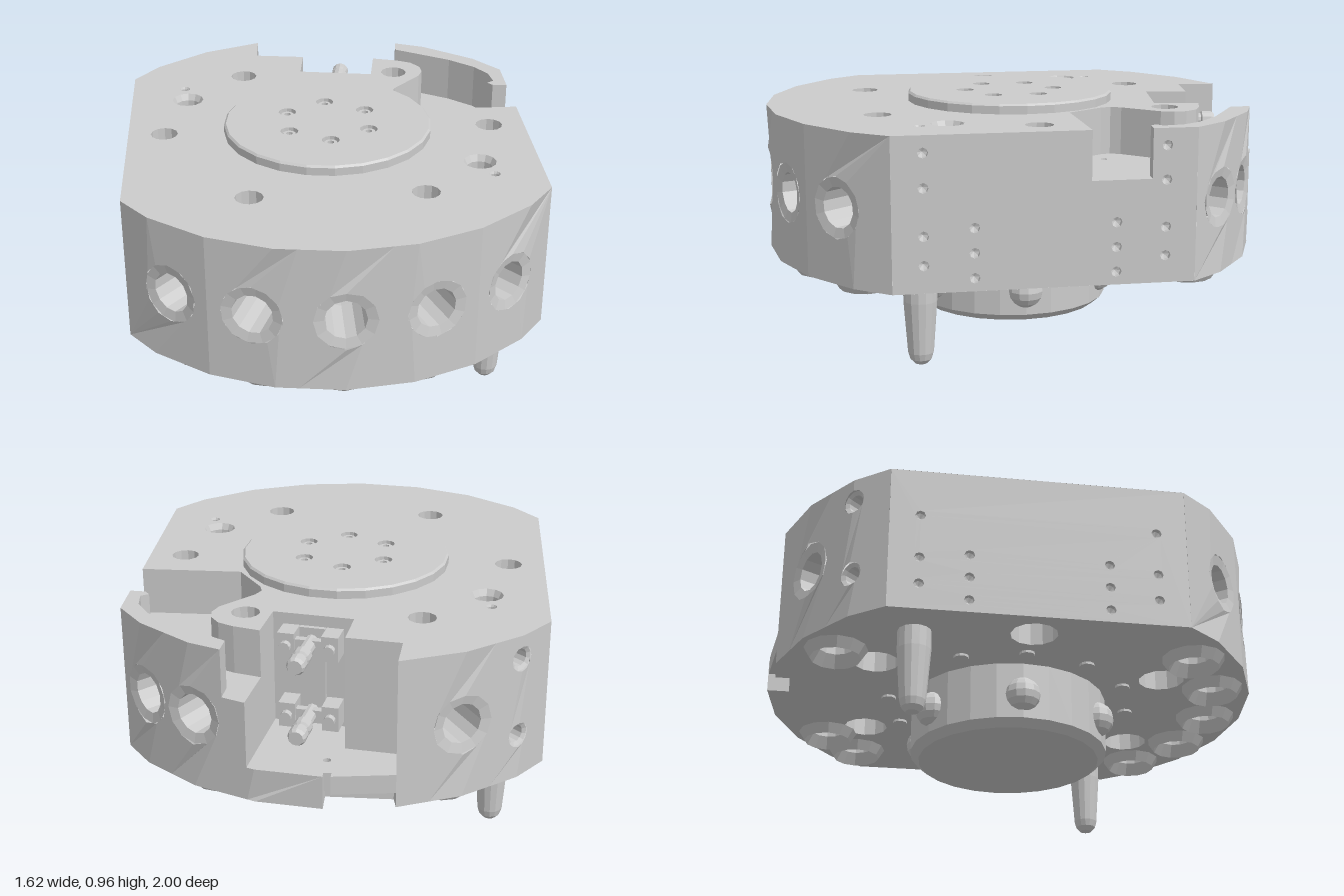
import * as THREE from 'three';

const Y0 = 0.335, RECESS = 0.395, FLOOR = 0.47, SHELF = 0.735, Y1 = 0.925, FLAT = 0.81, FLAT_Z = 0.572;
const solidMat = new THREE.MeshStandardMaterial({ color: 0xcccccc, flatShading: true });
const openMat = new THREE.MeshStandardMaterial({ color: 0xcccccc, flatShading: true, side: THREE.DoubleSide });
const rad = THREE.MathUtils.degToRad, deg = THREE.MathUtils.radToDeg;

// point at an angle (0 is the front, 90 is +x); by default on the 24-sided rim
const rimRadius = d => Math.cos(rad(7.5)) / Math.cos(rad((d + 720) % 15 - 7.5));
const at = (d, r = rimRadius(d)) => [r * Math.sin(rad(d)), r * Math.cos(rad(d))];

// rising angles from a to b, stopping at each 15 degree corner
function steps(a, b) {
  const list = [a];
  for (let d = Math.ceil(a / 15) * 15; d < b - 0.2; d += 15) if (d - a > 0.2) list.push(d);
  return [...list, b];
}
const arc = (a, b) => steps(a, b).map(d => at(d));

function add(group, name, geo, mat = solidMat) {
  const mesh = new THREE.Mesh(geo, mat);
  mesh.name = name;
  group.add(mesh);
  return mesh;
}

// outlined sheet with round holes [u, v, r], each vertex placed by a rule
function panel(group, name, outline, holes, place, sides = 12) {
  const shape = new THREE.Shape(outline.map(p => new THREE.Vector2(...p)));
  for (const [u, v, r] of holes) {
    const ring = [];
    for (let i = 0; i < sides; i++) {
      const a = (i / sides) * Math.PI * 2;
      ring.push(new THREE.Vector2(u + r * Math.cos(a), v + r * Math.sin(a)));
    }
    shape.holes.push(new THREE.Path(ring));
  }
  const geo = new THREE.ShapeGeometry(shape), pos = geo.attributes.position;
  for (let i = 0; i < pos.count; i++) pos.setXYZ(i, ...place(pos.getX(i), pos.getY(i)));
  geo.computeVertexNormals();
  add(group, name, geo, openMat);
}
const level = y => (u, v) => [u, y, v];
const bend = (u, v) => {
  const [x, z] = at(deg(u));
  return [x, v, z];
};

// vertical wall along a floor path
function wall(group, name, path, y0, y1) {
  const pos = [], index = [];
  path.forEach(([x, z], i) => {
    pos.push(x, y0, z, x, y1, z);
    const k = i * 2;
    if (i) index.push(k - 2, k, k - 1, k, k + 1, k - 1);
  });
  const geo = new THREE.BufferGeometry();
  geo.setAttribute('position', new THREE.Float32BufferAttribute(pos, 3));
  geo.setIndex(index);
  geo.computeVertexNormals();
  add(group, name, geo, openMat);
}

const lathe = (pts, sides) => new THREE.LatheGeometry(pts.map(p => new THREE.Vector2(...p)), sides);

// sunken bore opening towards dir
function cup(group, name, pos, dir, rim, r, depth, lip = 0.008, sides = 12) {
  const mesh = add(group, name, lathe([[rim, 0], [r, -lip], [r, -depth], [0, -depth - r * 0.4]], sides), openMat);
  mesh.position.set(...pos);
  mesh.quaternion.setFromUnitVectors(new THREE.Vector3(0, 1, 0), new THREE.Vector3(...dir));
}

function buildBody() {
  const g = new THREE.Group();
  g.name = 'body';
  const A = deg(Math.atan2(FLAT, FLAT_Z)), B = 180 - A, C = 180 + A; // ends of the curved front and back
  const SLOT0 = 179.7, SLOT1 = 181.4, P_R = 163.14, P_L = 195.1, GAP = 157.67;
  const slot = [at(SLOT0), [0.005, -0.97], [-0.025, -0.97], at(SLOT1)];
  const recess = [at(SLOT0), [0.005, -0.91], [-0.25, -0.91], at(P_L)];
  const pocketLeft = [[0.257, -0.74], [0.23, -0.56], [-0.08, -0.61], [-0.06, -0.78], [-0.27, -0.81], at(P_L)];
  const shelfIn = [[FLAT, -0.17], [0.41, -0.17], [0.31, -0.32], [0.3, -0.36], [0.32, -0.4], [0.44, -0.53],
    [0.46, -0.58], [0.455, -0.63], [0.42, -0.68], [0.36, -0.71], [0.257, -0.74]];
  const shelfOut = [[FLAT, -0.4], [0.75, -0.405], [0.73, -0.43], [0.76, -0.45], [0.75, -0.53], [0.7, -0.61],
    [0.6, -0.7], [0.37, -0.84], at(GAP)];

  const through = [30, 90, 150, 210, 270, 330].map(d => [...at(d, 0.665), 0.055]);
  const dowels = [[0.575, 0.335, 0.065], [-0.575, -0.335, 0.065], [0.615, 0.445, 0.022], [-0.59, -0.45, 0.022]];
  const ports = [-40, -20, 0, 20, 40, 135, 150, 210];
  const nozzles = ports.map(d => [...at(d, 0.85), 0.085]);
  const shelfHoles = [[0.68, -0.515, 0.013], [0.41, -0.31, 0.013]];

  // horizontal faces
  panel(g, 'topFace', [...arc(-A, A), ...shelfIn, ...pocketLeft.slice(1), ...arc(P_L, C).slice(1)],
    [...through, ...dowels], level(Y1));
  panel(g, 'rimTop', [...shelfOut, ...arc(B, GAP).reverse().slice(1)], [], level(Y1));
  panel(g, 'shelfFloor', [...shelfIn, at(P_R), ...shelfOut.slice().reverse()], shelfHoles, level(SHELF));
  panel(g, 'pocketFloor', [...pocketLeft, at(SLOT1), ...slot.slice(0, 3).reverse(),
    ...arc(P_R, SLOT0).reverse().slice(1)], [[0, -0.875, 0.015]], level(FLOOR));
  panel(g, 'recessRoof', [...recess.slice(1), ...slot.slice(1).reverse()], [], level(RECESS));
  panel(g, 'bottomFace', [...arc(-A, A), ...arc(B, SLOT0).slice(0, -1), ...recess, ...arc(P_L, C).slice(1)],
    [...through.map(([x, z]) => [x, z, 0.092]), ...nozzles], level(Y0));

  // pocket walls
  wall(g, 'pocketWall', pocketLeft, FLOOR, Y1);
  wall(g, 'pocketSide', [[0.257, -0.74], at(P_R)], FLOOR, SHELF);
  wall(g, 'shelfWall', shelfIn, SHELF, Y1);
  wall(g, 'rimWall', shelfOut, SHELF, Y1);
  wall(g, 'slotWall', slot, RECESS, FLOOR);
  wall(g, 'recessWall', recess, Y0, RECESS);

  // curved front and back skins: from angle, to angle, bottom, top, holes [angle, y, r]
  const port = d => [[d, 0.63, 0.12]];
  const small = [[225, 0.83, 0.05], [225, 0.515, 0.05]];
  const skins = [
    [-A, -30, Y0, Y1, port(-40)], [-30, -10, Y0, Y1, port(-20)], [-10, 10, Y0, Y1, port(0)],
    [10, 30, Y0, Y1, port(20)], [30, A, Y0, Y1, port(40)],
    [B, 142.5, Y0, Y1, port(135)], [142.5, GAP, Y0, Y1, port(150)], [GAP, P_R, Y0, SHELF, []],
    [P_R, SLOT0, Y0, FLOOR, []], [SLOT1, P_L, RECESS, FLOOR, []],
    [P_L, 202.5, Y0, Y1, []], [202.5, 217.5, Y0, Y1, port(210)], [217.5, C, Y0, Y1, small],
  ];
  for (const [a, b, y0, y1, holes] of skins) {
    const turns = steps(a, b);
    const outline = [...turns.map(d => [rad(d), y0]), ...turns.reverse().map(d => [rad(d), y1])];
    panel(g, 'curvedSkin', outline, holes.map(([d, y, r]) => [rad(d), y, r]), bend);
  }
  const radial = (name, d, y, ...size) => {
    const [x, z] = at(d, 1);
    cup(g, name, [x * 0.99, y, z * 0.99], [x, 0, z], ...size);
  };
  ports.forEach(d => radial('sidePort', d, 0.63, 0.12, 0.08, 0.23));
  small.forEach(([d, y]) => radial('smallPort', d, y, 0.05, 0.035, 0.12));

  // flat sides with small dimples
  const dots = [];
  for (const s of [1, -1]) {
    for (const y of [0.86, 0.73, 0.55, 0.44]) dots.push([s * 0.455, y, 0.02]);
    for (const y of [0.575, 0.48, 0.385]) dots.push([s * 0.267, y, 0.02]);
  }
  for (const s of [1, -1]) {
    const notch = s > 0 ? [[-0.17, Y1], [-0.17, SHELF], [-0.4, SHELF], [-0.4, Y1]] : [];
    const list = s > 0 ? dots : dots.filter(d => d[1] < 0.8);
    panel(g, 'flatSide', [[-FLAT_Z, Y0], [FLAT_Z, Y0], [FLAT_Z, Y1], ...notch, [-FLAT_Z, Y1]], list,
      (u, v) => [s * FLAT, v, u], 8);
    list.forEach(([z, y, r]) => cup(g, 'dimple', [s * FLAT, y, z], [s, 0, 0], r, r, 0.02, 0.005, 8));
  }

  // through holes, widened at the bottom
  for (const [x, z, r] of through) {
    add(g, 'throughHole', lathe([[0.092, Y0], [0.092, 0.43], [r, 0.43], [r, Y1]], 12), openMat).position.set(x, 0, z);
  }
  // blind holes
  for (const [x, z, r] of dowels) cup(g, 'topBore', [x, Y1, z], [0, 1, 0], r, r * 0.8, r * 3, r * 0.4);
  for (const [x, z, r] of shelfHoles) cup(g, 'shelfBore', [x, SHELF, z], [0, 1, 0], r, r, 0.05);
  cup(g, 'floorBore', [0, FLOOR, -0.875], [0, 1, 0], 0.015, 0.015, 0.07);

  // raised nozzles under the ports
  for (const [x, z] of nozzles) {
    add(g, 'nozzle', lathe([[0.125, Y0], [0.1, 0.295], [0.07, 0.345], [0.07, 0.5], [0, 0.52]], 12), openMat)
      .position.set(x, 0, z);
  }
  return g;
}

// stacked plug fittings on the pocket wall
function buildConnectors() {
  const g = new THREE.Group();
  g.name = 'connectors';
  g.position.set(0.075, 0, -0.583);
  g.rotation.y = -0.16;
  const box = (name, w, h, d, x, y, z) => add(g, name, new THREE.BoxGeometry(w, h, d)).position.set(x, y, z);
  for (const y of [0.83, 0.54]) {
    box('bracket', 0.2, 0.05, 0.03, 0, y, -0.065);
    for (const s of [1, -1]) {
      box('bracketFoot', 0.065, 0.1, 0.09, s * 0.085, y, -0.045);
      const screw = add(g, 'bracketScrew', new THREE.CylinderGeometry(0.022, 0.022, 0.03, 10));
      screw.rotation.x = Math.PI / 2;
      screw.position.set(s * 0.085, y, -0.1);
    }
    const plug = add(g, 'plug', lathe([[0, 0], [0.028, 0], [0.028, 0.12], [0.036, 0.125], [0.036, 0.165], [0.028, 0.17],
      [0.028, 0.185], [0.036, 0.19], [0.036, 0.225], [0.028, 0.24], [0, 0.24]], 12));
    plug.rotation.x = -Math.PI / 2;
    plug.position.set(0, y, -0.03);
  }
  box('backPlate', 0.1, 0.4, 0.02, 0, 0.68, -0.01);
  return g;
}

export function createModel() {
  const model = new THREE.Group();
  model.name = 'toolChangerPlate';
  model.add(buildBody(), buildConnectors());

  // top cover disc with six sunk bolts
  const bolts = [0, 60, 120, 180, 240, 300].map(d => [...at(d, 0.185), 0.036]);
  add(model, 'coverEdge', lathe([[0.422, Y1], [0.422, 0.957], [0.414, 0.965]], 24), openMat);
  const disc = [];
  for (let d = 0; d < 360; d += 15) disc.push(at(d, 0.414));
  panel(model, 'coverTop', disc, bolts, level(0.965));
  for (const [x, z, r] of bolts) {
    cup(model, 'boltBore', [x, 0.965, z], [0, 1, 0], r, r, 0.035, 0.01);
    add(model, 'boltHead', lathe([[0.026, 0.92], [0.026, 0.955], [0.014, 0.955], [0.014, 0.935], [0, 0.935]], 10), openMat)
      .position.set(x, 0, z);
  }

  // lower hub with locking balls
  add(model, 'hub', lathe([[0, 0.075], [0.37, 0.075], [0.404, 0.105], [0.404, Y0 + 0.01]], 24));
  for (let d = 30; d < 390; d += 60) {
    const [x, z] = at(d, 0.385);
    add(model, 'lockingBall', new THREE.SphereGeometry(0.072, 12, 8)).position.set(x, 0.205, z);
  }
  for (let d = 0; d < 360; d += 30) {
    const [x, z] = at(d, 0.5);
    add(model, 'hubScrew', new THREE.CylinderGeometry(0.03, 0.03, 0.012, 10)).position.set(x, Y0 - 0.004, z);
  }

  // tapered guide pins on opposite corners
  for (const s of [1, -1]) {
    add(model, 'guidePin', lathe([[0, 0], [0.025, 0.005], [0.042, 0.023], [0.05, 0.05], [0.065, 0.255], [0.065, Y0 + 0.005]], 14))
      .position.set(s * 0.62, 0, s * 0.45);
  }

  // small stop on the side shelf
  add(model, 'shelfStop', new THREE.BoxGeometry(0.06, 0.05, 0.03)).position.set(0.7, SHELF + 0.02, -0.455);
  return model;
}
